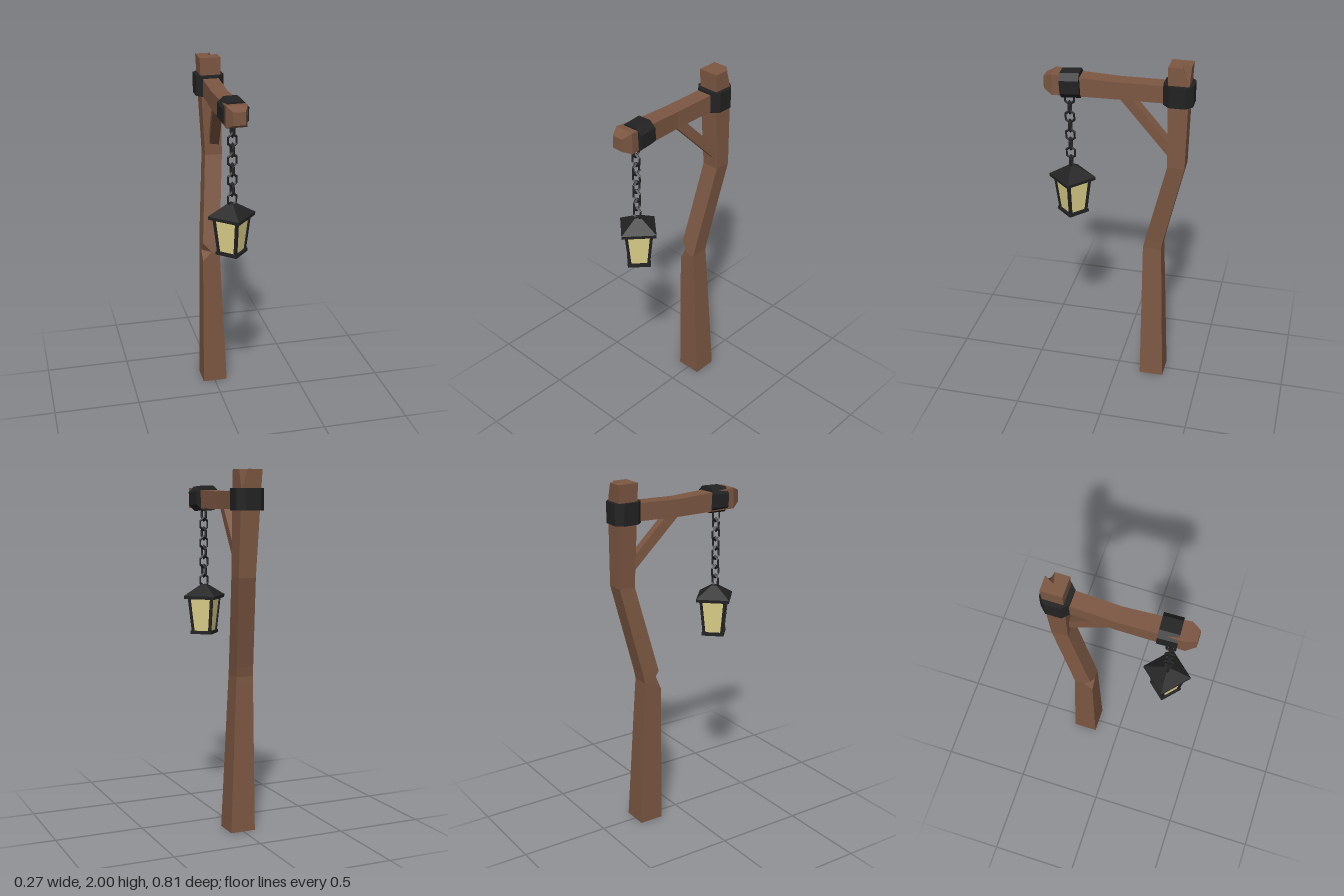
import * as THREE from 'three';

// Skin a list of equal-length rings (counter-clockwise about the path) and cap both ends.
function loft(rings) {
  const pos = [];
  const tri = (a, b, c) => {
    const n = b.clone().sub(a).cross(c.clone().sub(a));
    if (n.length() > 1e-9) for (const p of [a, b, c]) pos.push(p.x, p.y, p.z);
  };
  const n = rings[0].length;
  for (let i = 0; i < rings.length - 1; i++) {
    const lo = rings[i], up = rings[i + 1];
    for (let j = 0; j < n; j++) {
      const k = (j + 1) % n;
      tri(lo[j], lo[k], up[k]);
      tri(lo[j], up[k], up[j]);
    }
  }
  const first = rings[0], last = rings[rings.length - 1];
  for (let j = 1; j < n - 1; j++) {
    tri(first[0], first[j + 1], first[j]);
    tri(last[0], last[j], last[j + 1]);
  }
  const g = new THREE.BufferGeometry();
  g.setAttribute('position', new THREE.Float32BufferAttribute(pos, 3));
  g.computeVertexNormals();
  return g;
}

// Square band with chamfered corners, running along z.
function bandGeometry(w, h, cut, depth) {
  const a = w / 2, b = h / 2;
  const outline = [[-a + cut, -b], [a - cut, -b], [a, -b + cut], [a, b - cut],
    [a - cut, b], [-a + cut, b], [-a, b - cut], [-a, -b + cut]];
  return loft([-depth / 2, depth / 2].map(z => outline.map(([x, y]) => new THREE.Vector3(x, y, z))));
}

export function createModel() {
  const model = new THREE.Group();
  const material = (name, color) => {
    const m = new THREE.MeshStandardMaterial({ color, flatShading: true });
    m.name = name;
    return m;
  };
  const wood = material('brown wood', 0x7c5742);
  const iron = material('black iron', 0x222222);
  const glass = material('yellow glass', 0xe0d38c);

  const add = (name, geometry, mat, parent = model) => {
    const mesh = new THREE.Mesh(geometry, mat);
    mesh.name = name;
    parent.add(mesh);
    return mesh;
  };

  // Crooked post: y, x range, z range, chip in the front left edge, chip in the back right corner
  const postRings = [
    [0, -0.07, 0.075, -0.285, -0.145, 0, 0],
    [0.82, -0.07, 0.033, -0.253, -0.145, 0, 0],
    [0.875, -0.07, 0.03, -0.25, -0.145, 0.052, 0],
    [0.93, -0.067, 0.033, -0.26, -0.157, 0, 0],
    [1.43, -0.025, 0.075, -0.375, -0.28, 0, 0],
    [1.89, -0.05, 0.065, -0.383, -0.272, 0, 0],
    [2, -0.055, 0.063, -0.388, -0.27, 0, 1],
  ].map(([y, x0, x1, z0, z1, chip, split]) => [
    [x0, z1 - chip], [x0 + chip, z1], [x1, z1],
    [x1, z0 + 0.038 * split], [x1 - 0.06 * split, z0 + 0.053 * split], [x1 - 0.033 * split, z0],
    [x0, z0],
  ].map(([x, z]) => new THREE.Vector3(x, y, z)));
  add('post', loft(postRings), wood);

  // Arm with a chamfered tip: z, x range, y range
  const armRings = [
    [-0.31, -0.04, 0.05, 1.793, 1.89],
    [0, -0.05, 0.04, 1.785, 1.882],
    [0.2, -0.05, 0.048, 1.785, 1.89],
    [0.355, -0.053, 0.06, 1.785, 1.902],
    [0.405, -0.027, 0.037, 1.81, 1.88],
  ].map(([z, x0, x1, y0, y1]) =>
    [[x0, y0], [x1, y0], [x1, y1], [x0, y1]].map(([x, y]) => new THREE.Vector3(x, y, z)));
  add('arm', loft(armRings), wood);

  // Diagonal brace
  const from = new THREE.Vector3(0.035, 1.49, -0.32), to = new THREE.Vector3(-0.012, 1.83, 0.0);
  const brace = add('brace', new THREE.BoxGeometry(0.055, 0.055, from.distanceTo(to)), wood);
  brace.position.copy(from).add(to).multiplyScalar(0.5);
  brace.lookAt(to);

  // Iron bands
  const postBand = add('postBand', bandGeometry(0.16, 0.16, 0.037, 0.117), iron);
  postBand.rotation.x = -Math.PI / 2;
  postBand.position.set(0.005, 1.843, -0.324);
  const armBand = add('armBand', bandGeometry(0.142, 0.14, 0.033, 0.106), iron);
  armBand.rotation.set(0.05, 0.05, 0);
  armBand.position.set(0.006, 1.842, 0.259);

  // Chain of six-sided links, alternately turned
  const chain = new THREE.Group();
  chain.name = 'chain';
  model.add(chain);
  const linkGeometry = new THREE.TorusGeometry(0.034, 0.008, 4, 6);
  linkGeometry.rotateZ(Math.PI / 6);
  linkGeometry.scale(0.8, 1.05, 1);
  for (let i = 0; i < 8; i++) {
    const link = add('chainLink', linkGeometry, iron, chain);
    link.position.set(0, 1.748 - i * 0.0545, 0.275);
    link.rotation.y = i % 2 ? 0.08 : Math.PI / 2 + 0.08;
  }

  // Square lantern hanging corner forward
  const lantern = new THREE.Group();
  lantern.name = 'lantern';
  lantern.position.set(0, 0, 0.27);
  lantern.rotation.y = 0.05;
  model.add(lantern);
  const tier = (name, top, bottom, y1, y0, mat) => {
    const m = add(name, new THREE.CylinderGeometry(top, bottom, y1 - y0, 4), mat, lantern);
    m.position.y = (y0 + y1) / 2;
    return m;
  };
  tier('roof', 0.022, 0.133, 1.342, 1.278, iron);
  tier('eave', 0.133, 0.131, 1.278, 1.26, iron);
  tier('glassPanes', 0.098, 0.072, 1.262, 1.065, glass);
  tier('base', 0.09, 0.09, 1.07, 1.052, iron);

  // Corner struts following the taper of the panes
  for (let i = 0; i < 4; i++) {
    const a = i * Math.PI / 2;
    const low = new THREE.Vector3(Math.sin(a) * 0.071, 1.062, Math.cos(a) * 0.071);
    const high = new THREE.Vector3(Math.sin(a) * 0.097, 1.265, Math.cos(a) * 0.097);
    const strut = add('cornerStrut', new THREE.CylinderGeometry(0.011, 0.011, low.distanceTo(high), 4), iron, lantern);
    strut.position.copy(low).add(high).multiplyScalar(0.5);
    strut.quaternion.setFromUnitVectors(new THREE.Vector3(0, 1, 0), high.clone().sub(low).normalize());
  }
  return model;
}
